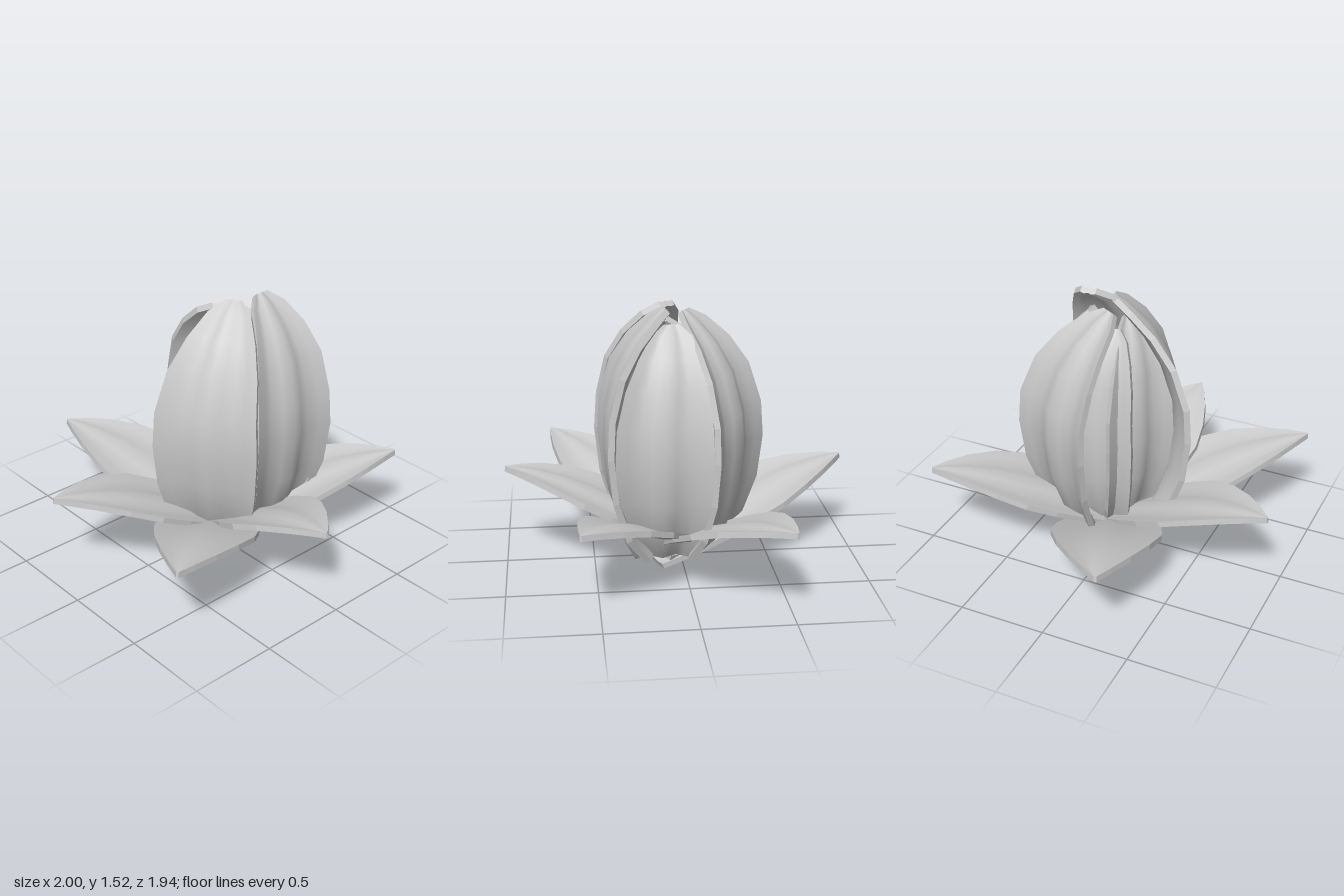
import * as THREE from 'three';

const grey = new THREE.MeshStandardMaterial({ color: 0xcccccc });
const gold = new THREE.MeshStandardMaterial({ color: 0xf0c040 });
const COLS = 8;

// Petal slab: each row is [distance from the axis, height, half width, sideways lean].
// The ripple pushes the midrib and both side edges out by the given amount.
function petalGeometry(rows, ripple, thickness, angle, cx, cz) {
  const cos = Math.cos(angle), sin = Math.sin(angle);
  const last = rows.length - 1;
  const point = (i, j, depth) => {
    const [r, y, w, lean] = rows[i];
    const a = rows[Math.max(0, i - 1)], b = rows[Math.min(last, i + 1)];
    const dr = b[0] - a[0], dy = b[1] - a[1], len = Math.hypot(dr, dy);
    const t = (j / COLS) * 2 - 1;
    const wave = 0.5 + 0.5 * Math.cos(2 * Math.PI * t);
    const off = ripple * wave * Math.min(1, w / 0.25) - depth;
    const u = r + (dy / len) * off, h = y - (dr / len) * off, v = w * t + lean;
    return [cx + u * cos - v * sin, h, cz + u * sin + v * cos];
  };
  const pos = [], index = [];

  // outer and inner faces
  for (const depth of [0, thickness]) {
    const start = pos.length / 3;
    for (let i = 0; i <= last; i++)
      for (let j = 0; j <= COLS; j++) pos.push(...point(i, j, depth));
    for (let i = 0; i < last; i++) {
      for (let j = 0; j < COLS; j++) {
        const a = start + i * (COLS + 1) + j, b = a + COLS + 1;
        if (depth === 0) index.push(a, b, b + 1, a, b + 1, a + 1);
        else index.push(a, b + 1, b, a, a + 1, b + 1);
      }
    }
  }

  // rim joining the two faces
  const loop = [];
  for (let i = 0; i < last; i++) loop.push([i, 0]);
  for (let j = 0; j < COLS; j++) loop.push([last, j]);
  for (let i = last; i > 0; i--) loop.push([i, COLS]);
  for (let j = COLS; j > 0; j--) loop.push([0, j]);
  loop.forEach((a, k) => {
    const b = loop[(k + 1) % loop.length], n = pos.length / 3;
    pos.push(...point(...b, 0), ...point(...a, 0), ...point(...a, thickness), ...point(...b, thickness));
    index.push(n, n + 1, n + 2, n, n + 2, n + 3);
  });

  const g = new THREE.BufferGeometry();
  g.setAttribute('position', new THREE.Float32BufferAttribute(pos, 3));
  g.setIndex(index);
  g.computeVertexNormals();
  return g;
}

export function createModel() {
  const flower = new THREE.Group();
  flower.name = 'flower';
  const add = (parent, name, geometry, material) => {
    const mesh = new THREE.Mesh(geometry, material);
    mesh.name = name;
    parent.add(mesh);
    return mesh;
  };

  // Open outer petals: tip x, y, z, base height, width factor
  const outer = new THREE.Group();
  outer.name = 'outerPetals';
  flower.add(outer);
  const OX = 0.05, OZ = -0.06;
  // fraction of length, fraction of rise, half width
  const spread = [
    [0, 0, 0.13], [0.14, 0.13, 0.17], [0.28, 0.32, 0.23], [0.42, 0.51, 0.27], [0.56, 0.68, 0.28],
    [0.7, 0.82, 0.23], [0.83, 0.92, 0.15], [0.93, 0.975, 0.07], [1, 1, 0.006],
  ];
  [
    [-1.0, 0.45, 0.32, 0.0, 1.1],
    [-0.22, 0.51, 0.97, 0.06, 0.95],
    [0.73, 0.49, 0.89, 0.05, 1.0],
    [1.0, 0.51, 0.1, 0.07, 0.95],
    [0.6, 0.46, -0.89, 0.06, 0.95],
    [-0.5, 0.46, -0.97, 0.06, 1.0],
  ].forEach(([x, y, z, base, wide], i) => {
    const length = Math.hypot(x - OX, z - OZ);
    const rows = spread.map(([f, h, w]) => [-0.12 + f * (length + 0.12), base + h * (y - base), w * wide, 0]);
    add(outer, `outerPetal${i + 1}`,
      petalGeometry(rows, -0.02, 0.032, Math.atan2(z - OZ, x - OX), OX, OZ), grey);
  });

  // Closed bud petals: angle in degrees, centre x, z, radius, height and width factors, tip inset
  const bud = new THREE.Group();
  bud.name = 'budPetals';
  flower.add(bud);
  const closed = [
    [0.18, 0.11, 0.17], [0.28, 0.27, 0.24], [0.35, 0.5, 0.28], [0.375, 0.75, 0.295], [0.365, 0.95, 0.285],
    [0.3, 1.17, 0.25], [0.21, 1.33, 0.19], [0.11, 1.45, 0.12], [0.05, 1.51, 0.045],
  ];
  [
    [58, 0.01, -0.08, 1.02, 1.0, 1, 0],
    [210, 0.06, -0.09, 1.04, 0.965, 1.05, 0],
    [-3, 0.03, -0.18, 1.02, 1.0, 1, 0.03],
    [-90, 0.13, -0.09, 0.98, 0.93, 0.9, 0.07],
    [120, 0.1, -0.12, 0.76, 0.93, 0.75, 0.07],
    [172, 0.07, -0.1, 0.7, 0.9, 0.72, 0.07],
  ].forEach(([deg, x, z, radius, height, wide, inset], i) => {
    const rows = closed.map(([r, y, w]) => {
      const top = Math.max(0, (y - 1) / 0.5);
      return [r * radius + inset * top, 0.11 + (y - 0.11) * height, w * wide, -0.06 * top];
    });
    add(bud, `budPetal${i + 1}`,
      petalGeometry(rows, 0.04, 0.035, THREE.MathUtils.degToRad(deg), x, z), grey);
  });

  // Golden heart inside the bud
  const heart = add(flower, 'heart', new THREE.ConeGeometry(0.15, 0.34, 6).toNonIndexed(), gold);
  heart.geometry.computeVertexNormals();
  heart.position.set(0.09, 0.36, -0.13);

  return flower;
}
